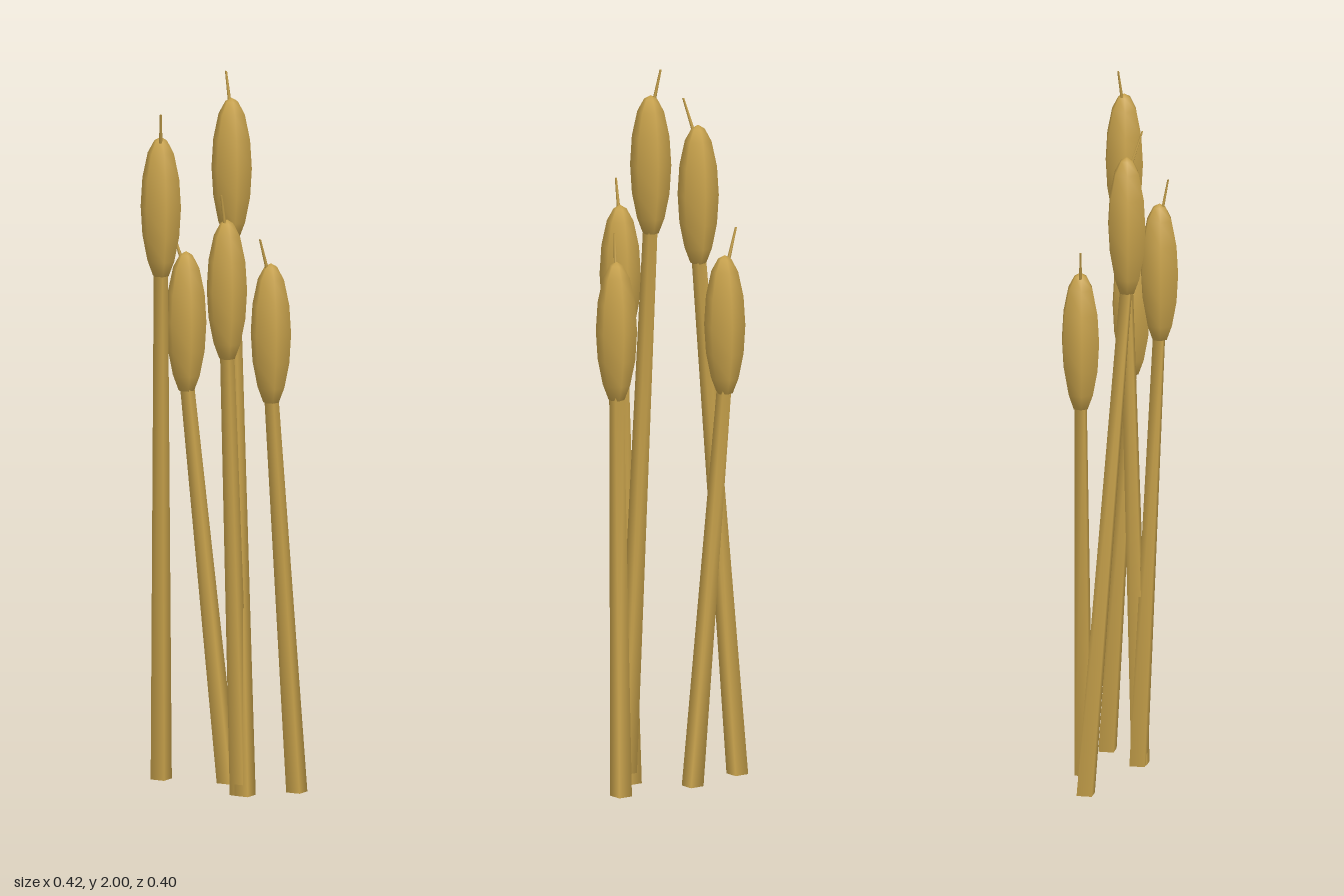
import * as THREE from 'three';
import { mergeVertices } from 'three/addons/utils/BufferGeometryUtils.js';

const strawBrown = new THREE.MeshStandardMaterial({ color: 0xc8a24b });
strawBrown.name = 'strawBrown';

// Share all vertices so shading runs smoothly over sides and caps
function smooth(geometry) {
  geometry.deleteAttribute('normal');
  geometry.deleteAttribute('uv');
  const merged = mergeVertices(geometry, 1e-4);
  merged.computeVertexNormals();
  return merged;
}

// Four-sided tapered rod whose ends stay horizontal while it leans from a to b
function leaningRod(a, b, rBottom, rTop) {
  const geometry = new THREE.CylinderGeometry(rTop, rBottom, 1, 4);
  const p = geometry.attributes.position;
  for (let i = 0; i < p.count; i++) {
    const t = p.getY(i) + 0.5;
    p.setXYZ(
      i,
      p.getX(i) + a[0] + (b[0] - a[0]) * t,
      a[1] + (b[1] - a[1]) * t,
      p.getZ(i) + a[2] + (b[2] - a[2]) * t
    );
  }
  return smooth(geometry);
}

// Six-sided seed head, widest at the middle
const headProfile = [
  [0, 0], [0.022, 0.003], [0.038, 0.045], [0.052, 0.115], [0.057, 0.195],
  [0.052, 0.275], [0.037, 0.345], [0.018, 0.38], [0, 0.39],
].map(([r, y]) => new THREE.Vector2(r, y));

// foot [x, z], head [x, z], bottom height of the head, tip of the spike [x, z]
const reeds = [
  { foot: [-0.13, -0.167], head: [-0.162, -0.054], y: 1.42, tip: [-0.174, -0.011] },
  { foot: [0.03, -0.068], head: [-0.066, -0.142], y: 1.08, tip: [-0.104, -0.167] },
  { foot: [0.03, 0.117], head: [0.01, 0.051], y: 1.54, tip: [0.001, 0.025] },
  { foot: [0.02, 0.104], head: [-0.028, 0.141], y: 1.22, tip: [-0.048, 0.156] },
  { foot: [0.179, 0.107], head: [0.099, 0.132], y: 1.09, tip: [0.065, 0.143] },
];

export function createModel() {
  const model = new THREE.Group();
  model.name = 'reedCluster';
  const headGeometry = smooth(new THREE.LatheGeometry(headProfile, 6));

  reeds.forEach(({ foot, head, y, tip }, i) => {
    const reed = new THREE.Group();
    reed.name = `reed${i + 1}`;
    const add = (name, geometry) => {
      const mesh = new THREE.Mesh(geometry, strawBrown);
      mesh.name = name;
      reed.add(mesh);
      return mesh;
    };
    add('stem', leaningRod([foot[0], 0, foot[1]], [head[0], y + 0.04, head[1]], 0.03, 0.02));
    add('seedHead', headGeometry).position.set(head[0], y, head[1]);
    add('spike', leaningRod([head[0], y + 0.33, head[1]], [tip[0], y + 0.46, tip[1]], 0.006, 0.003));
    model.add(reed);
  });
  return model;
}
